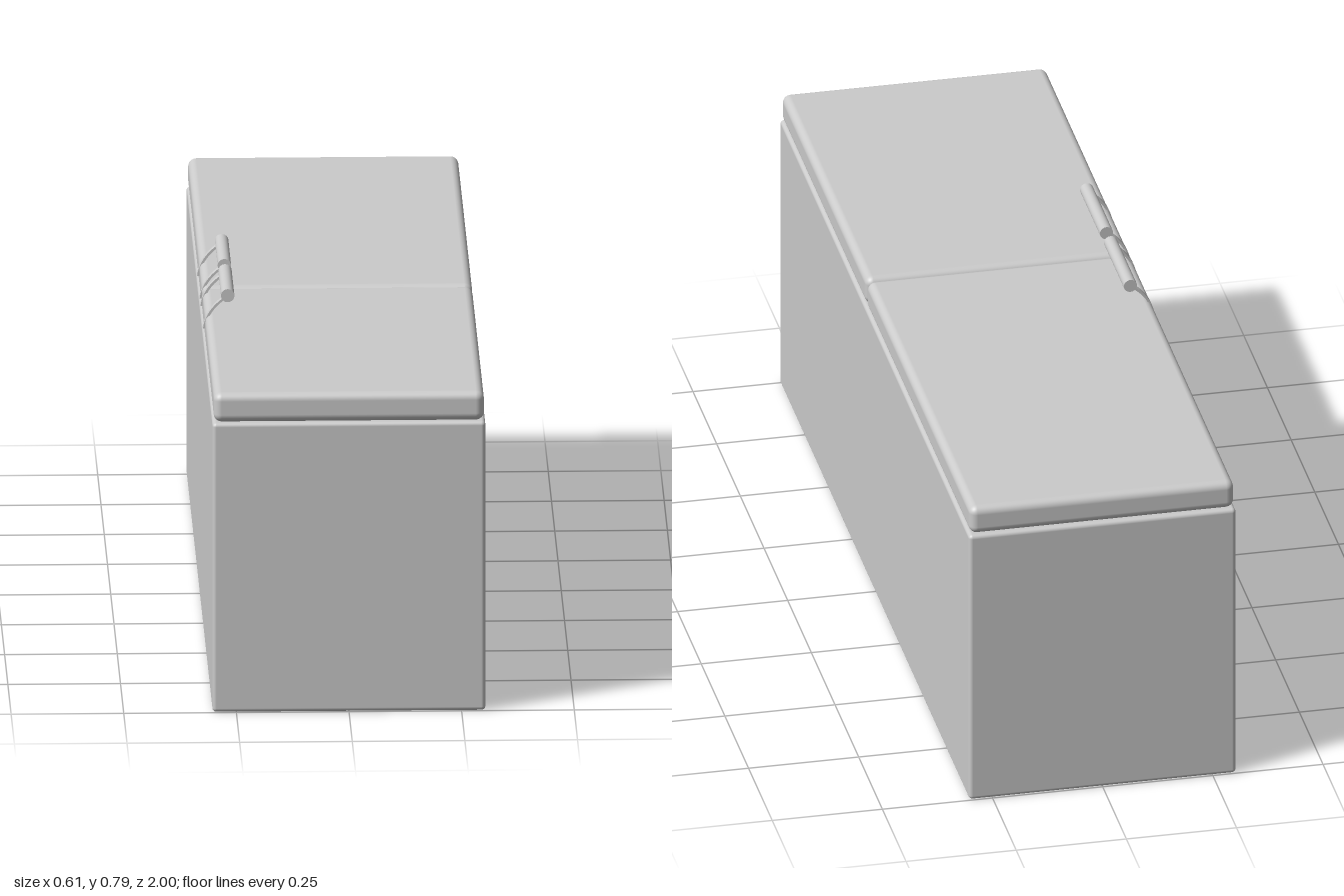
import * as THREE from 'three';
import { RoundedBoxGeometry } from 'three/addons/geometries/RoundedBoxGeometry.js';

const material = new THREE.MeshStandardMaterial({ color: 0xcccccc });

function add(parent, name, geometry, x, y, z) {
  const mesh = new THREE.Mesh(geometry, material);
  mesh.name = name;
  mesh.position.set(x, y, z);
  parent.add(mesh);
  return mesh;
}

// Rounded slab spanning y0..y1 and z0..z1, centred on x
function slab(parent, name, width, y0, y1, z0, z1, radius) {
  const geometry = new RoundedBoxGeometry(width, y1 - y0, z1 - z0, 4, radius);
  add(parent, name, geometry, 0, (y0 + y1) / 2, (z0 + z1) / 2);
}

// Thin curved strap rising from the door edge to the grip
function bracketGeometry(width) {
  const shape = new THREE.Shape();
  shape.moveTo(-0.305, 0.7);
  shape.quadraticCurveTo(-0.299, 0.744, -0.256, 0.773);
  shape.lineTo(-0.253, 0.769);
  shape.quadraticCurveTo(-0.294, 0.741, -0.299, 0.7);
  shape.closePath();
  const geometry = new THREE.ExtrudeGeometry(shape, { depth: width, bevelEnabled: false, curveSegments: 10 });
  return geometry.translate(0, 0, -width / 2);
}

// Round grip carried by two straps
function handle(centreZ) {
  const group = new THREE.Group();
  group.name = 'handle';
  const length = 0.21;
  const grip = new THREE.CylinderGeometry(0.015, 0.015, length, 32).rotateX(Math.PI / 2);
  add(group, 'grip', grip, -0.25, 0.776, 0);
  for (const side of [-1, 1]) {
    add(group, 'bracket', bracketGeometry(0.016), 0, 0, side * (length / 2 - 0.01));
  }
  group.position.z = centreZ;
  return group;
}

export function createModel() {
  const model = new THREE.Group();
  model.name = 'refrigerator';

  // Cabinet lying on its back
  slab(model, 'cabinet', 0.606, 0, 0.665, -1, 1, 0.009);

  // Long and short doors meeting at the seam
  slab(model, 'longDoor', 0.6, 0.665, 0.732, -0.997, 0.099, 0.018);
  slab(model, 'shortDoor', 0.6, 0.665, 0.732, 0.101, 0.997, 0.018);

  // Handles either side of the seam
  model.add(handle(-0.025), handle(0.228));
  return model;
}
